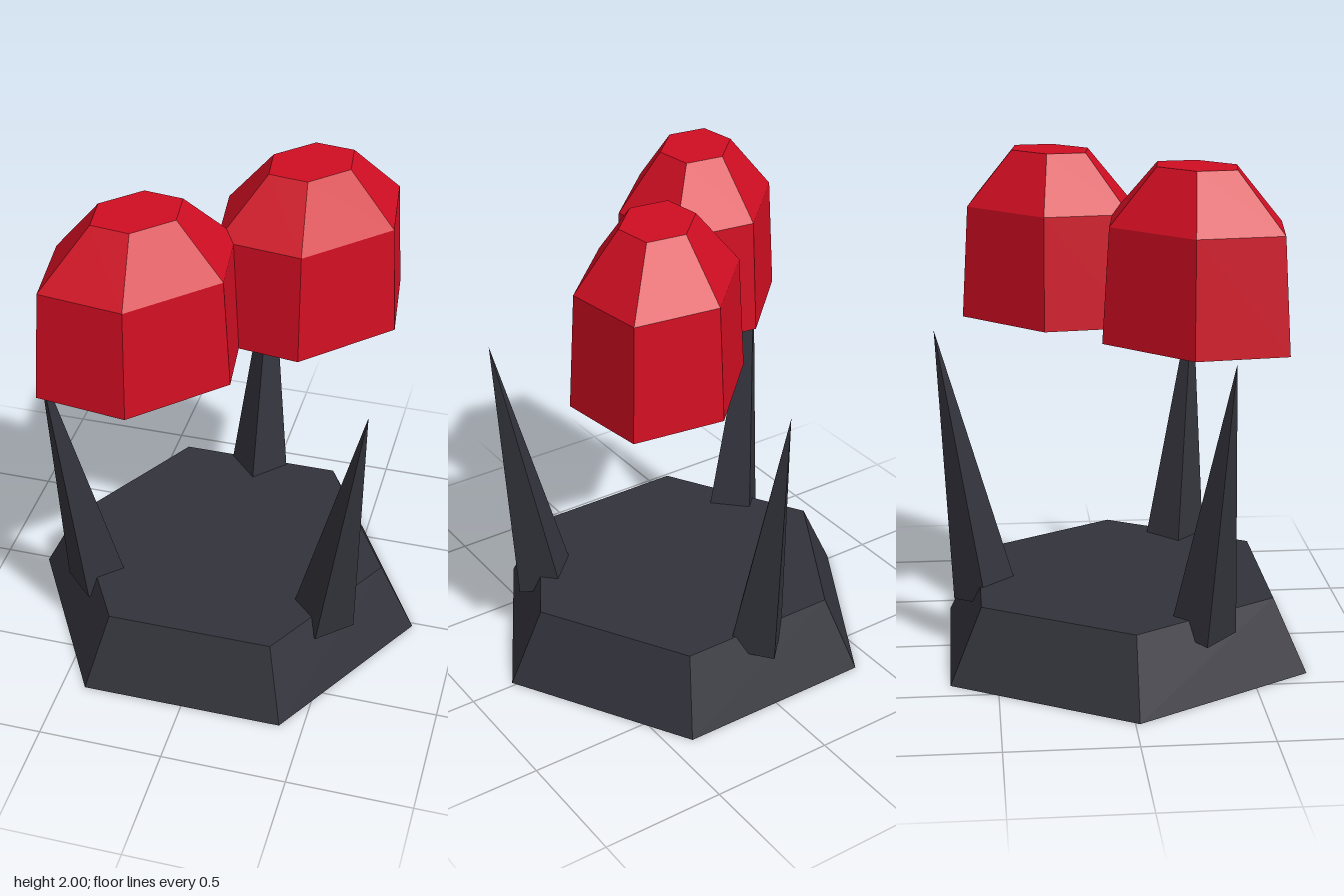
import * as THREE from 'three';

export function createModel() {
  const dark = new THREE.MeshStandardMaterial({ color: 0x32323b, flatShading: true });
  dark.name = 'charcoal';
  const red = new THREE.MeshStandardMaterial({ color: 0xd00e22, flatShading: true });
  red.name = 'red';

  const model = new THREE.Group();
  model.name = 'model';
  const centreZ = 0.017;

  const add = (name, geometry, material) => {
    const mesh = new THREE.Mesh(geometry, material);
    mesh.name = name;
    model.add(mesh);
    return mesh;
  };

  // Hexagonal base with sloping sides, corners on the x axis
  const base = add('base', new THREE.CylinderGeometry(0.665, 0.812, 0.295, 6, 1, false, Math.PI / 6), dark);
  base.position.set(0, 0.1475, centreZ);

  // Three four-sided spikes leaning outwards
  const height = 1.119, lean = 0.164;
  const spikeGeometry = new THREE.ConeGeometry(0.13, height, 4);
  spikeGeometry.translate(0, height / 2, 0);
  const up = new THREE.Vector3(0, 1, 0);
  const spikes = [['backSpike', -90], ['leftSpike', 30], ['rightSpike', 150]];
  for (const [name, degrees] of spikes) {
    const a = THREE.MathUtils.degToRad(degrees);
    const x = Math.cos(a), z = Math.sin(a);
    const spike = add(name, spikeGeometry, dark);
    spike.position.set(x * 0.554, 0.226, z * 0.554 + centreZ);
    const axis = new THREE.Vector3(x * Math.sin(lean), Math.cos(lean), z * Math.sin(lean));
    spike.quaternion.setFromUnitVectors(up, axis);
  }

  // Two faceted hexagonal domes, stretched along the diagonal
  const profile = [[0, 0], [0.444, 0], [0.411, 0.445], [0.189, 0.665], [0, 0.665]]
    .map(([r, y]) => new THREE.Vector2(r, y));
  const domeGeometry = new THREE.LatheGeometry(profile, 6);
  domeGeometry.scale(0.745, 1, 1);
  domeGeometry.rotateY(Math.PI * 3 / 4);
  for (const [name, side] of [['backLeftDome', 1], ['frontRightDome', -1]]) {
    const dome = add(name, domeGeometry, red);
    dome.position.set(side * 0.262, 1.335, -side * 0.261 + centreZ);
  }

  return model;
}
